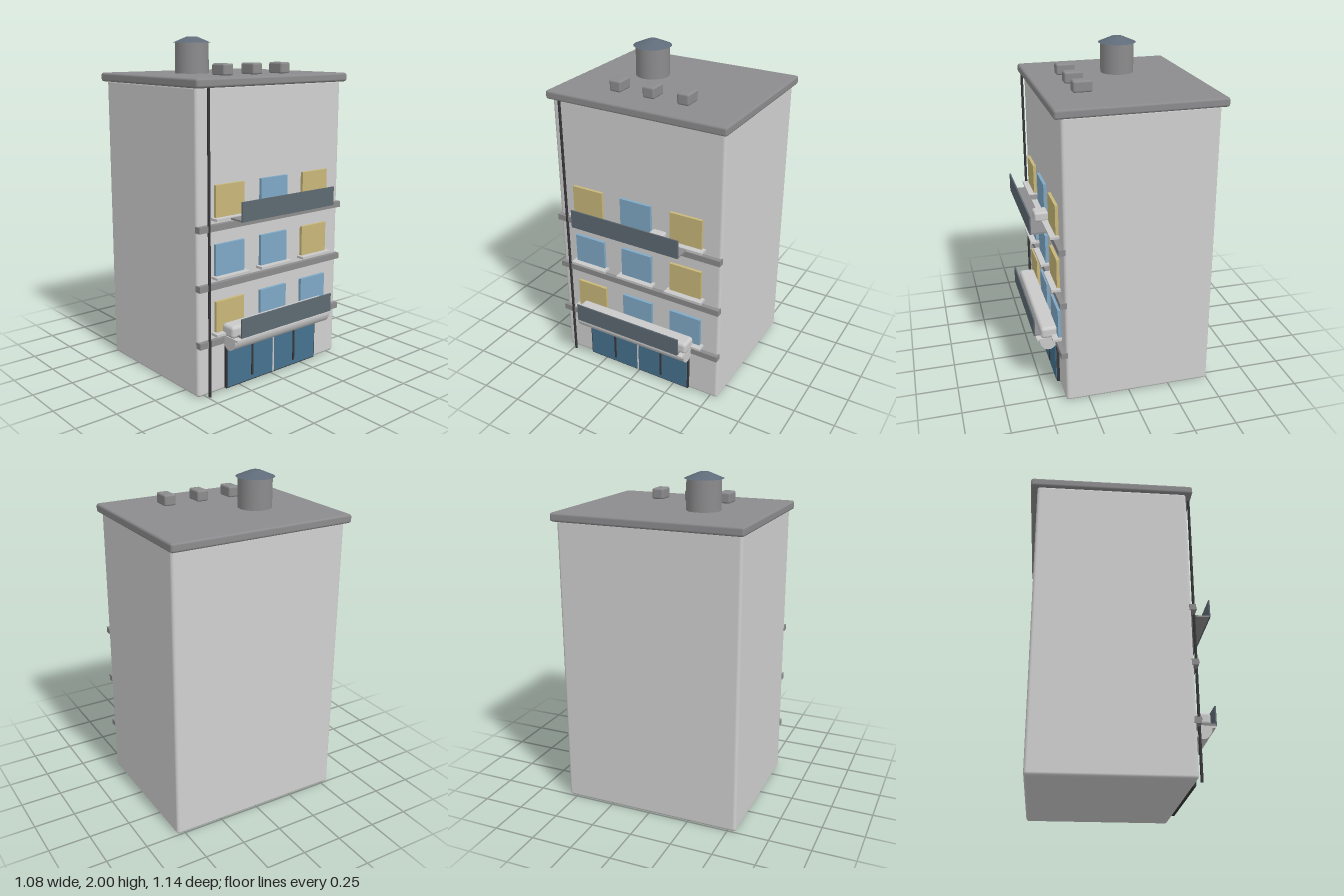
import * as THREE from 'three';
import { RoundedBoxGeometry } from 'three/addons/geometries/RoundedBoxGeometry.js';

const paint = (name, color, extra = {}) => {
  const m = new THREE.MeshStandardMaterial({ color, ...extra });
  m.name = name;
  return m;
};

export function createModel() {
  const wall = paint('wall grey', 0xd0d0d0);
  const trim = paint('trim grey', 0x8c8c8e);
  const light = paint('light grey', 0xcacaca);
  const dark = paint('dark metal', 0x38383b);
  const panel = paint('balcony slate', 0x5d6972);
  const yellow = paint('lit window yellow', 0xc9b87a);
  const blue = paint('window blue', 0x7fa9c6);
  const door = paint('shopfront blue', 0x46728f);
  const slate = paint('tank roof slate', 0x5f6b79);

  const model = new THREE.Group();
  model.name = 'building';

  const add = (name, geometry, material, x = 0, y = 0, z = 0) => {
    const mesh = new THREE.Mesh(geometry, material);
    mesh.name = name;
    mesh.position.set(x, y, z);
    model.add(mesh);
    return mesh;
  };
  // Box from its minimum and maximum along each axis, optionally rounded
  const box = (name, material, [x0, x1], [y0, y1], [z0, z1], radius = 0, segments = 3) => {
    const size = [x1 - x0, y1 - y0, z1 - z0];
    const geometry = radius
      ? new RoundedBoxGeometry(...size, segments, radius)
      : new THREE.BoxGeometry(...size);
    return add(name, geometry, material, (x0 + x1) / 2, (y0 + y1) / 2, (z0 + z1) / 2);
  };

  // Main block and roof slab
  box('walls', wall, [-0.5, 0.387], [0, 1.745], [-0.55, 0.55], 0.018);
  box('roofSlab', trim, [-0.54, 0.425], [1.735, 1.787], [-0.57, 0.57], 0.014, 1);

  // Water tank with conical lid
  add('tank', new THREE.CylinderGeometry(0.1, 0.1, 0.185, 32), trim, -0.123, 1.873, 0.19);
  add('tankLid', new THREE.CylinderGeometry(0.03, 0.114, 0.035, 24), slate, -0.123, 1.9825, 0.19);

  // Rooftop vents
  for (const z of [-0.22, -0.003, 0.214])
    box('roofVent', trim, [0.14, 0.252], [1.785, 1.852], [z - 0.037, z + 0.037], 0.012, 2);

  // Floor bands across the street side
  for (const y of [0.315, 0.645, 0.978])
    box('floorBand', trim, [0.375, 0.414], [y - 0.018, y + 0.018], [-0.552, 0.552]);

  // Windows and sills, bottom row first
  const rows = [
    [0.37, [yellow, blue, blue]],
    [0.7, [blue, blue, yellow]],
    [1.032, [yellow, blue, yellow]],
  ];
  for (const [y, panes] of rows)
    panes.forEach((pane, i) => {
      const z = 0.33 * (1 - i);
      box('window', pane, [0.38, 0.405], [y, y + 0.18], [z - 0.102, z + 0.102]);
      box('windowSill', light, [0.38, 0.44], [y - 0.014, y], [z - 0.122, z + 0.122]);
    });

  // Balconies
  for (const y of [0.355, 1.018]) {
    box('balconyFloor', trim, [0.385, 0.533], [y, y + 0.01], [-0.355, 0.355]);
    box('balconyPanel', panel, [0.529, 0.537], [y, y + 0.112], [-0.356, 0.356]);
  }
  box('airConditioner', light, [0.4, 0.482], [1.026, 1.082], [-0.21, -0.12], 0.012, 2);

  // Awning: rounded housing, shelf and curved underside
  box('awningHousing', light, [0.4, 0.5], [0.345, 0.418], [-0.39, 0.39], 0.02);
  box('awningShelf', light, [0.385, 0.525], [0.331, 0.344], [-0.38, 0.38]);
  const curve = new THREE.Shape();
  curve.absellipse(0, 0, 0.055, 0.07, Math.PI, Math.PI * 2);
  const awning = new THREE.ExtrudeGeometry(curve, { depth: 0.76, bevelEnabled: false, curveSegments: 20 });
  add('awning', awning, light, 0.452, 0.335, -0.38);

  // Shopfront with frame and bars
  box('shopFrame', dark, [0.38, 0.404], [0.01, 0.285], [-0.358, 0.358]);
  box('shopGlass', door, [0.4, 0.409], [0.018, 0.28], [-0.35, 0.35]);
  for (const z of [-0.168, 0.168])
    box('doorBar', dark, [0.405, 0.415], [0.045, 0.28], [z - 0.006, z + 0.006]);
  box('doorDivider', light, [0.405, 0.412], [0.018, 0.28], [-0.005, 0.005]);

  // Drainpipe
  add('drainpipe', new THREE.CylinderGeometry(0.008, 0.008, 1.74, 10), dark, 0.412, 0.87, 0.485);

  return model;
}
